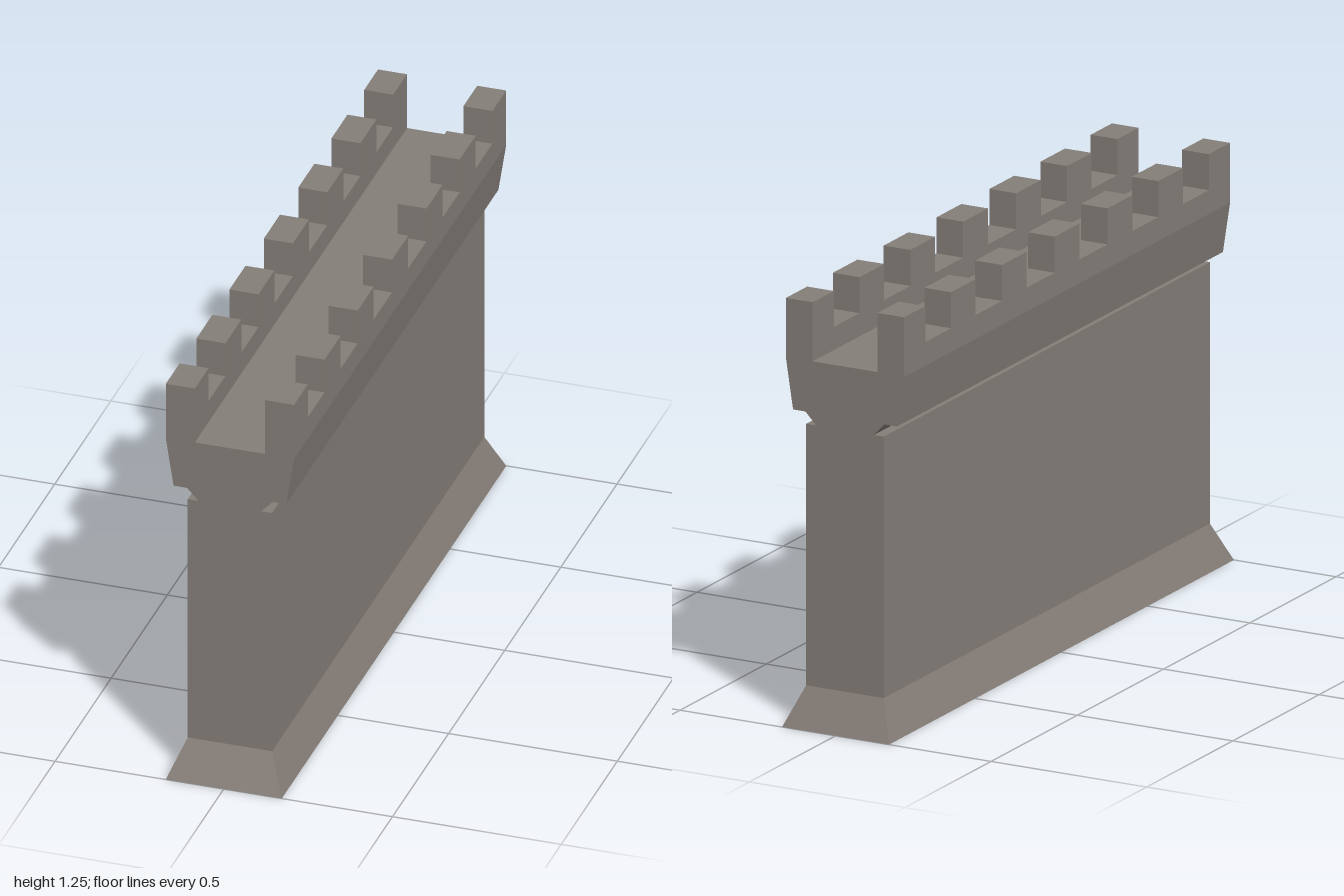
import * as THREE from 'three';

const LENGTH = 1.89; // wall length along z
const BASE_TOP = 0.115;

// Extrude a half profile, mirrored across x = 0, along the wall
function extrudeSymmetric(half) {
  const mirrored = half.map(([x, y]) => [-x, y]).reverse();
  const shape = new THREE.Shape([...half, ...mirrored].map(([x, y]) => new THREE.Vector2(x, y)));
  const geometry = new THREE.ExtrudeGeometry(shape, { depth: LENGTH, bevelEnabled: false });
  return geometry.translate(0, 0, -LENGTH / 2);
}

export function createModel() {
  const model = new THREE.Group();
  model.name = 'castleWall';
  const stone = new THREE.MeshStandardMaterial({ color: 0x857e78, flatShading: true });
  stone.name = 'stone';

  const add = (name, geometry, parent = model) => {
    const mesh = new THREE.Mesh(geometry, stone);
    mesh.name = name;
    parent.add(mesh);
    return mesh;
  };

  // Splayed footing: a box with its top edges pulled in
  const footing = new THREE.BoxGeometry(0.344, BASE_TOP, 2).translate(0, BASE_TOP / 2, 0);
  const pos = footing.attributes.position;
  for (let i = 0; i < pos.count; i++) {
    if (pos.getY(i) > BASE_TOP / 2) {
      pos.setX(i, Math.sign(pos.getX(i)) * 0.125);
      pos.setZ(i, Math.sign(pos.getZ(i)) * LENGTH / 2);
    }
  }
  footing.computeVertexNormals();
  add('footing', footing);

  // Shaft, undercut neck, flared walkway and low parapets in one section
  add('wallBody', extrudeSymmetric([
    [0.125, BASE_TOP], [0.125, 0.885], [0.093, 0.885], [0.127, 0.921],
    [0.167, 0.921], [0.19, 1.07], [0.19, 1.14], [0.104, 1.14], [0.104, 1.072],
  ]));

  // Merlons along both parapets; the end ones are slightly narrower
  const merlons = new THREE.Group();
  merlons.name = 'merlons';
  model.add(merlons);
  const spans = [[-0.072, 0.072], [0.235, 0.378], [0.53, 0.673], [0.822, LENGTH / 2]];
  for (const side of [-1, 1]) {
    spans.forEach(([z0, z1], i) => {
      for (const end of i === 0 ? [1] : [-1, 1]) {
        const merlon = add('merlon', new THREE.BoxGeometry(0.086, 0.106, z1 - z0), merlons);
        merlon.position.set(side * 0.147, 1.193, end * (z0 + z1) / 2);
      }
    });
  }
  return model;
}
